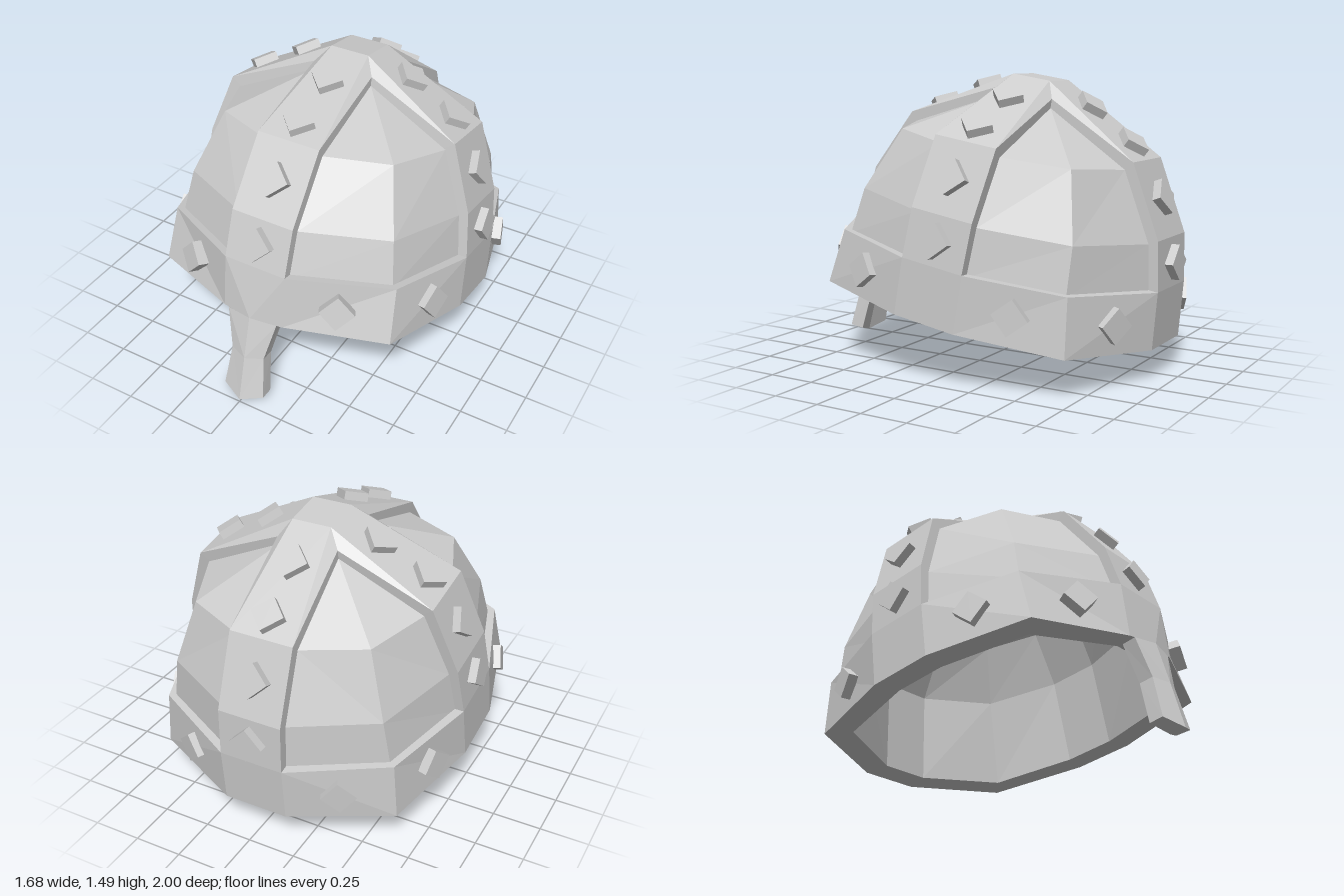
import * as THREE from 'three';

const grey = new THREE.MeshStandardMaterial({ color: 0xcccccc, flatShading: true, side: THREE.DoubleSide });
const HALF = 0.17; // half width of the crossing straps

// Flat-shaded mesh from quads or triangles, corners counter-clockwise
function faceMesh(name, faces) {
  const pos = [];
  for (const f of faces)
    for (let i = 1; i < f.length - 1; i++) pos.push(...f[0], ...f[i], ...f[i + 1]);
  const geo = new THREE.BufferGeometry();
  geo.setAttribute('position', new THREE.Float32BufferAttribute(pos, 3));
  geo.computeVertexNormals();
  const mesh = new THREE.Mesh(geo, grey);
  mesh.name = name;
  return mesh;
}

// Skin over closed rings that all have the same number of points
function loft(name, rings) {
  const faces = [];
  for (let i = 0; i < rings.length - 1; i++) {
    const lo = rings[i], hi = rings[i + 1], n = lo.length;
    for (let j = 0; j < n; j++) {
      const k = (j + 1) % n;
      // the diagonals mirror each other about the front ridge
      if (j < n / 2) faces.push([lo[j], lo[k], hi[k], hi[j]]);
      else faces.push([lo[k], hi[k], hi[j], lo[j]]);
    }
  }
  return faceMesh(name, faces);
}

// Helmet cross-section: front/back z, diagonal corner, side x, half width, front ridge z
function ring(y, z, dx, dz, x, w = HALF, ridge = z, front = z) {
  const right = [[w, y, front], [dx, y, dz], [x, y, w], [x, y, -w], [dx, y, -dz], [w, y, -z]];
  const left = right.map(([a, b, c]) => [-a, b, c]).reverse();
  return [[0, y, ridge], ...right, ...left];
}

// Raised strap from the band to the crown; profile is [height, distance from the axis]
function strap(name, profile) {
  const faces = [];
  const [top, crown] = [profile[2], profile[3]];
  for (let i = 0; i < 2; i++) {
    const [y0, z0] = profile[i], [y1, z1] = profile[i + 1];
    faces.push([[-HALF, y0, z0], [HALF, y0, z0], [HALF, y1, z1], [-HALF, y1, z1]]);
  }
  const c = crown[1];
  faces.push([[-HALF, top[0], top[1]], [HALF, top[0], top[1]], [c, crown[0], c], [-c, crown[0], c]]);
  for (const s of [-1, 1]) {
    const corner = [s * 0.165, 1.09, 0.165];
    const bevel = [[s * HALF, top[0], top[1]], corner, [s * c, crown[0], c]];
    faces.push(s > 0 ? bevel : bevel.reverse());
    // side walls down to the panels
    const edge = [...profile.slice(0, 3).map(([y, z]) => [s * HALF, y, z]), corner];
    const sunk = edge.map(([x, y, z], i) => [x, y - 0.025 * i, z - 0.075]);
    for (let i = 0; i < 3; i++) {
      const wall = [edge[i], sunk[i], sunk[i + 1], edge[i + 1]];
      faces.push(s > 0 ? wall : wall.reverse());
    }
  }
  return faceMesh(name, faces);
}

// Diamond stud lying on a surface
const studGeo = new THREE.BoxGeometry(0.125, 0.125, 0.07);
function stud(p, n) {
  const mesh = new THREE.Mesh(studGeo, grey);
  mesh.name = 'stud';
  const normal = new THREE.Vector3(...n).normalize();
  mesh.position.set(...p);
  mesh.lookAt(mesh.position.clone().add(normal));
  mesh.rotateZ(Math.PI / 4);
  mesh.position.addScaledVector(normal, 0.008);
  return mesh;
}

export function createModel() {
  const model = new THREE.Group();
  model.name = 'helmet';

  // Bowl is tipped back a little
  const bowl = new THREE.Group();
  bowl.name = 'bowl';
  bowl.position.set(0, 0.32, -0.03);
  bowl.rotation.x = -0.165;
  model.add(bowl);

  // Brow band with rim underneath and ledge on top
  const innerRim = ring(0, 0.785, 0.56, 0.59, 0.672, 0.14);
  bowl.add(loft('browBand', [
    innerRim,
    ring(0, 0.912, 0.665, 0.69, 0.806, HALF, 0.912, 0.88),
    ring(0.286, 0.89, 0.645, 0.646, 0.8),
    ring(0.286, 0.83, 0.605, 0.61, 0.745),
  ]));

  // Sunken panels between the straps
  bowl.add(loft('panels', [
    ring(0.27, 0.845, 0.615, 0.625, 0.755),
    ring(0.505, 0.8, 0.58, 0.6, 0.725),
    ring(0.83, 0.615, 0.48, 0.483, 0.605),
    ring(1.055, 0.15, 0.15, 0.15, 0.15, 0.15),
  ]));

  // Inner lining, facing inwards
  bowl.add(loft('lining', [
    ring(1.03, 0, 0, 0, 0, 0),
    ring(1.0, 0.13, 0.13, 0.13, 0.13, 0.13),
    ring(0.78, 0.54, 0.42, 0.43, 0.53, 0.14),
    ring(0.48, 0.72, 0.51, 0.53, 0.64, 0.14),
    innerRim,
  ]));

  // Four straps, each with four studs
  const long = [[0.286, 0.89], [0.53, 0.846], [0.874, 0.652], [1.17, 0.105]];
  const wide = [[0.286, 0.8], [0.53, 0.772], [0.874, 0.65], [1.17, 0.105]];
  ['frontStrap', 'leftStrap', 'backStrap', 'rightStrap'].forEach((name, k) => {
    const profile = k % 2 ? wide : long;
    const group = new THREE.Group();
    group.name = name + 'Group';
    group.add(strap(name, profile));
    for (const [i, t] of [[0, 0.5], [1, 0.5], [2, 0.18], [2, 0.64]]) {
      const [y0, z0] = profile[i], [y1, z1] = profile[i + 1];
      group.add(stud([0, y0 + (y1 - y0) * t, z0 + (z1 - z0) * t], [0, z0 - z1, y1 - y0]));
    }
    group.rotation.y = k * Math.PI / 2;
    bowl.add(group);
  });

  // Crown plate where the straps meet
  const c = 0.105;
  bowl.add(faceMesh('crown', [[[-c, 1.17, c], [c, 1.17, c], [c, 1.17, -c], [-c, 1.17, -c]]]));

  // Eight studs around the band
  for (const sx of [-1, 1])
    for (const sz of [-1, 1]) {
      bowl.add(stud([sx * 0.41, 0.145, sz * 0.782], [sx * 0.235, 0.05, sz * 0.48]));
      bowl.add(stud([sx * 0.73, 0.145, sz * 0.42], [sx * 0.5, 0.04, sz * 0.15]));
    }

  // Ridged nose guard: half width, then edge and ridge heights and depths
  const guardRows = [
    [0.115, 0.05, 0.955, 0.02, 1.0],
    [0.093, 0.265, 0.9, 0.255, 0.935],
    [0.14, 0.465, 0.845, 0.475, 0.871],
  ].map(([w, ye, ze, yc, zc]) => [
    [0, yc, zc], [w, ye, ze], [w * 0.95, ye - 0.012, ze - 0.075],
    [0, yc - 0.014, zc - 0.083], [-w * 0.95, ye - 0.012, ze - 0.075], [-w, ye, ze],
  ]);
  const tip = guardRows[0].map(() => [0, 0.012, 0.958]);
  model.add(loft('noseGuard', [tip, ...guardRows]));

  return model;
}
